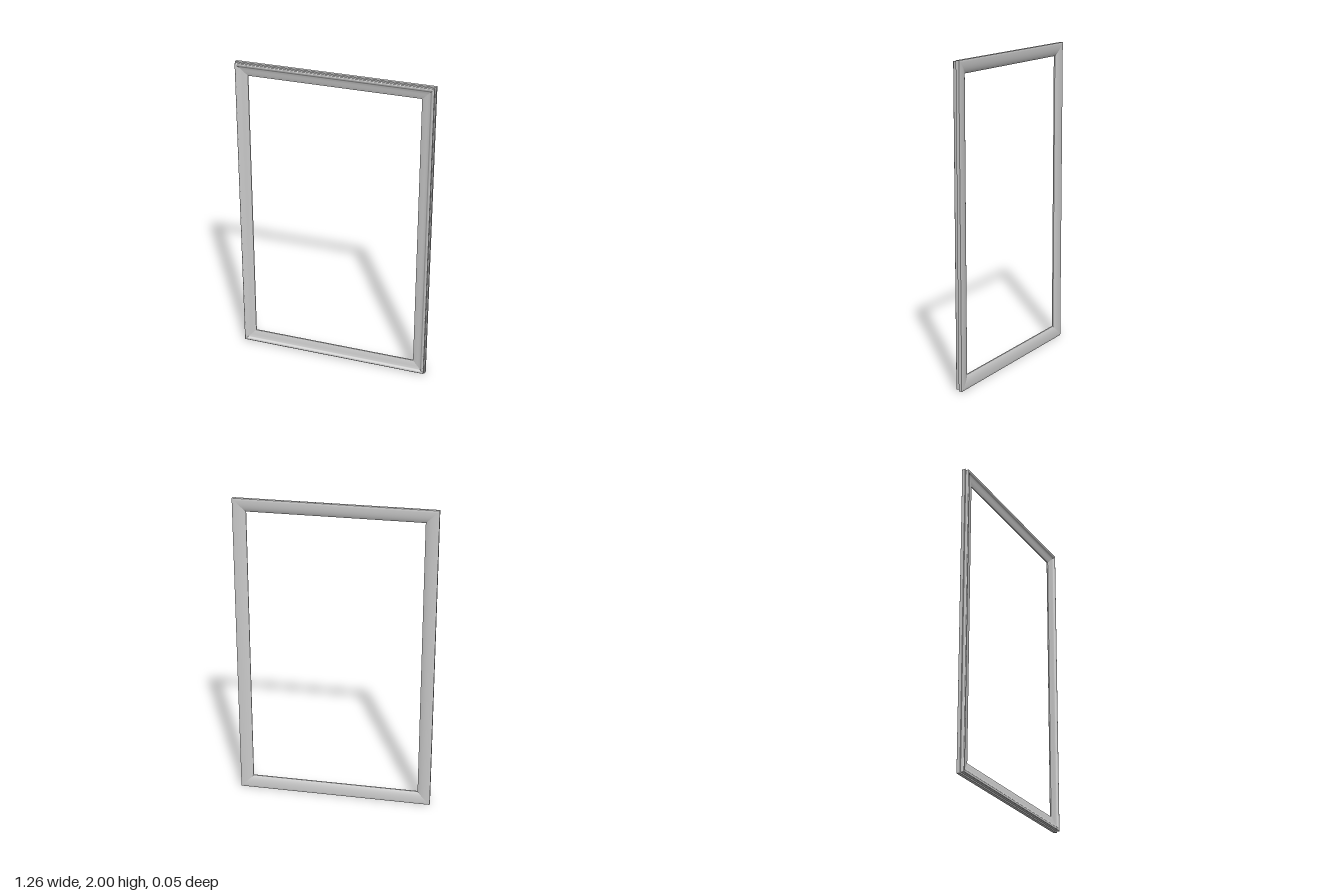
import * as THREE from 'three';
import { toCreasedNormals } from 'three/addons/utils/BufferGeometryUtils.js';

const HALF_W = 0.632;
const HEIGHT = 2;

// Moulding cross-section: x = distance inward from the outer edge, y = depth (front is +)
function mouldingProfile() {
  const shape = new THREE.Shape();
  shape.moveTo(0, -0.021);
  shape.lineTo(0, 0.0);                                      // outer side
  shape.lineTo(0.008, 0.0);                                  // rebate behind the front rim
  shape.lineTo(0.006, 0.019);
  shape.quadraticCurveTo(0.007, 0.023, 0.012, 0.023);        // rounded front rim
  shape.quadraticCurveTo(0.022, 0.023, 0.027, 0.014);
  shape.bezierCurveTo(0.04, 0.008, 0.06, 0.008, 0.083, 0.0); // shallow sloping face
  shape.lineTo(0.083, -0.008);                               // thin sight edge
  shape.bezierCurveTo(0.065, -0.019, 0.04, -0.023, 0.012, -0.023); // domed back
  shape.quadraticCurveTo(0.002, -0.023, 0, -0.021);
  const points = shape.getPoints(8);
  points.pop(); // the loop closes itself
  return points;
}

// One mitred length of moulding between two corners, running anticlockwise seen from the front
function railGeometry(profile, from, to) {
  const place = ([sx, sy], p) => [
    sx * (HALF_W - p.x),
    HEIGHT / 2 + sy * (HEIGHT / 2 - p.x),
    p.y,
  ];
  const positions = [];
  profile.forEach((p, i) => {
    const q = profile[(i + 1) % profile.length];
    const a = place(from, p), b = place(to, p);
    const c = place(to, q), d = place(from, q);
    positions.push(...a, ...b, ...d, ...b, ...c, ...d);
  });
  const geometry = new THREE.BufferGeometry();
  geometry.setAttribute('position', new THREE.Float32BufferAttribute(positions, 3));
  return toCreasedNormals(geometry, THREE.MathUtils.degToRad(40));
}

export function createModel() {
  const group = new THREE.Group();
  group.name = 'frame';
  const material = new THREE.MeshStandardMaterial({ color: 0xcccccc });
  const profile = mouldingProfile();
  const corners = [[-1, -1], [1, -1], [1, 1], [-1, 1]];
  const names = ['bottomRail', 'leftStile', 'topRail', 'rightStile'];

  names.forEach((name, i) => {
    const rail = new THREE.Mesh(railGeometry(profile, corners[i], corners[(i + 1) % 4]), material);
    rail.name = name;
    group.add(rail);
  });
  return group;
}
